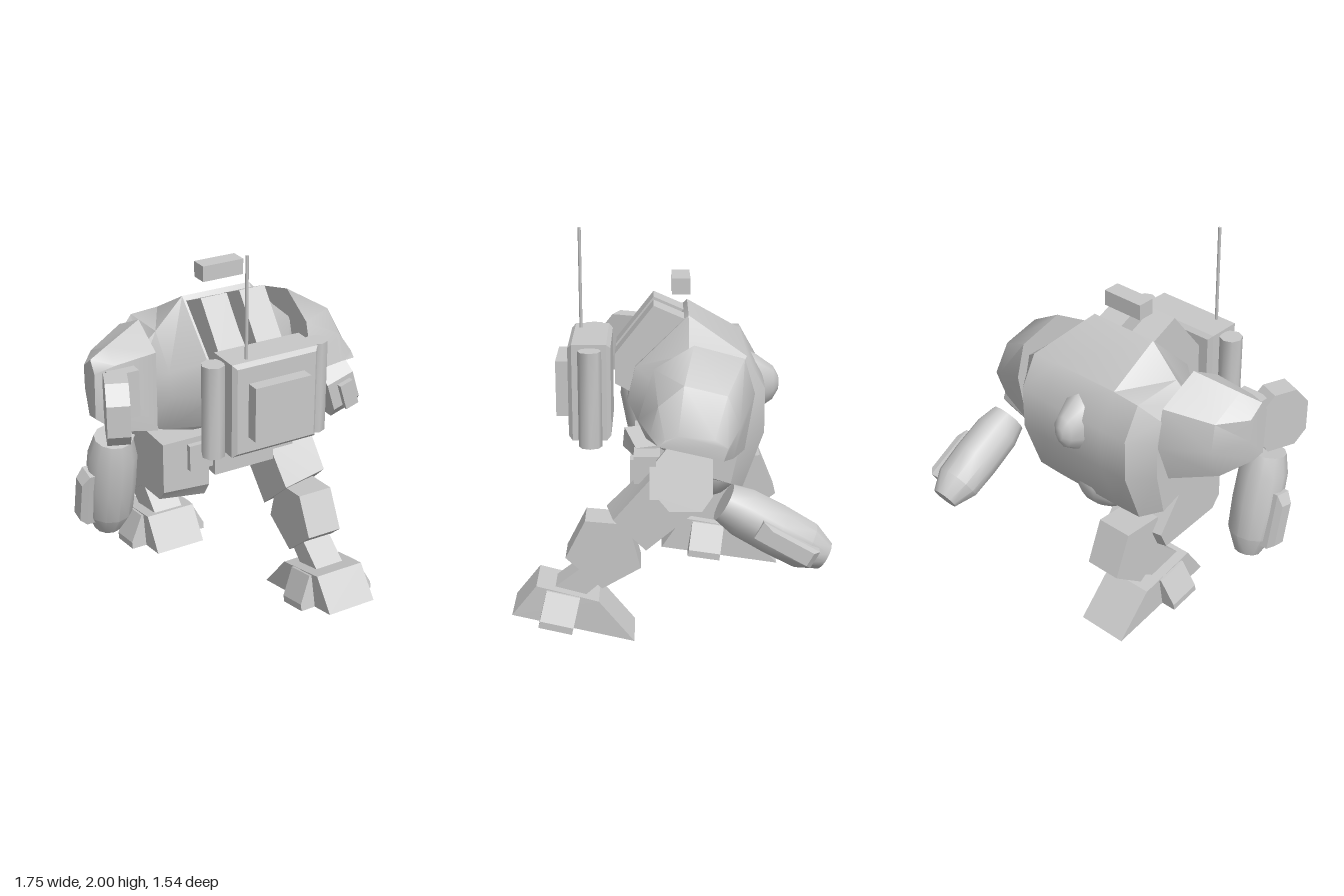
import * as THREE from 'three';
import { toCreasedNormals } from 'three/addons/utils/BufferGeometryUtils.js';

// Double sided because the feet are open underneath
const grey = new THREE.MeshStandardMaterial({ color: 0xc8c8c8, side: THREE.DoubleSide });
grey.name = 'light grey';

// Skin a hull through rings of [x, y, z] points, capping both ends;
// an open hull leaves out the strip between the last and first points
function loft(rings, crease = 0.6, open = false) {
  const n = rings[0].length, tris = [];
  for (let r = 0; r + 1 < rings.length; r++) {
    for (let i = 0; i < (open ? n - 1 : n); i++) {
      const j = (i + 1) % n;
      const a = rings[r][i], b = rings[r][j], c = rings[r + 1][j], d = rings[r + 1][i];
      tris.push([a, b, c], [a, c, d]);
    }
  }
  // caps follow the turn of their ring
  const flat = ring => ring.map(p => new THREE.Vector2(p[2], p[1]));
  const cap = (ring, reversed) => {
    const turn = THREE.ShapeUtils.isClockWise(flat(ring));
    THREE.ShapeUtils.triangulateShape(flat(ring), []).forEach(f => {
      const t = f.map(i => ring[i]);
      const same = THREE.ShapeUtils.isClockWise(flat(t)) === turn;
      tris.push(same === reversed ? t.reverse() : t);
    });
  };
  cap(rings[0], true);
  cap(rings[rings.length - 1], false);
  // turn everything outward if the enclosed volume is negative
  const all = rings.flat().map(p => new THREE.Vector3(...p));
  const centre = all.reduce((s, p) => s.add(p), new THREE.Vector3()).divideScalar(all.length);
  const v = p => new THREE.Vector3(...p).sub(centre);
  const volume = tris.reduce((s, [a, b, c]) => s + v(a).dot(v(b).cross(v(c))), 0);
  if (volume < 0) tris.forEach(t => t.reverse());
  const g = new THREE.BufferGeometry();
  g.setAttribute('position', new THREE.Float32BufferAttribute(tris.flat(2), 3));
  return toCreasedNormals(g, crease);
}

// A ring at one x from a [z, y] outline
const ring = (x, outline) => outline.map(([z, y]) => [x, y, z]);
const prism = (x0, x1, outline, open) => loft([ring(x0, outline), ring(x1, outline)], 0.3, open);

function add(parent, name, geometry, position = [0, 0, 0], rotation = [0, 0, 0]) {
  const m = new THREE.Mesh(geometry, grey);
  m.name = name;
  m.position.set(...position);
  m.rotation.set(...rotation);
  parent.add(m);
  return m;
}

// Box from its low and high corners
function box(parent, name, lo, hi) {
  const s = lo.map((v, i) => hi[i] - v), c = lo.map((v, i) => (v + hi[i]) / 2);
  return add(parent, name, new THREE.BoxGeometry(...s), c);
}

// Foot: hollow wedge with flared side fins, placed by its heel and sole angle
function foot(parent, cx, heelZ, heelY, tilt) {
  const c = Math.cos(tilt), s = Math.sin(tilt);
  const at = (u, n) => [heelZ - u * c - n * s, heelY - u * s + n * c];
  const wedge = [[0, 0], [0.085, 0.18], [0.405, 0.17], [0.627, 0]].map(p => at(...p));
  add(parent, 'foot', prism(cx - 0.133, cx + 0.133, wedge, true));
  for (const side of [-1, 1]) {
    const fin = u => [[0.13, 0], [0.13, 0.172], [0.145, 0.172], [0.213, 0.035], [0.213, 0]]
      .map(([dx, n]) => {
        const [z, y] = at(u, n);
        return [z, y, -(cx + side * dx)];
      });
    // built in a turned frame so the end caps face along the foot
    add(parent, 'footFin', loft([fin(0.14), fin(0.31)], 0.3, true), [0, 0, 0], [0, -Math.PI / 2, 0]);
  }
}

// Forearm: faceted tapered barrel from a to b with a pod on the outer side
function forearm(parent, side, a, b) {
  const from = new THREE.Vector3(...a), dir = new THREE.Vector3(...b).sub(from);
  const len = dir.length();
  const g = new THREE.Group();
  g.name = side > 0 ? 'leftForearm' : 'rightForearm';
  g.position.copy(from);
  g.quaternion.setFromUnitVectors(new THREE.Vector3(0, 1, 0), dir.normalize());
  const profile = [[0, 0], [0.095, 0], [0.12, 0.1], [0.124, 0.28], [0.118, len - 0.11], [0.07, len], [0, len]]
    .map(p => new THREE.Vector2(...p));
  add(g, 'barrel', toCreasedNormals(new THREE.LatheGeometry(profile, 12), 0.6));
  const outline = (w, lo, hi) => [[-w, lo], [-w, hi], [w, hi], [w, lo]];
  const root = outline(0.045, 0.18, 0.48);
  add(g, 'sidePod', loft([ring(side * 0.08, root), ring(side * 0.135, root),
    ring(side * 0.17, outline(0.035, 0.23, 0.45))], 0.2));
  parent.add(g);
}

export function createModel() {
  const model = new THREE.Group();
  model.name = 'walker';

  // Torso hull
  const mid = [[-0.11, 1.625], [-0.385, 1.47], [-0.48, 1.3], [-0.48, 1.08], [-0.38, 0.8],
    [-0.1, 0.86], [0.1, 1.0], [0.19, 1.2], [0.15, 1.37]];
  const edge = [[-0.11, 1.47], [-0.385, 1.46], [-0.475, 1.3], [-0.475, 1.08], [-0.375, 0.8],
    [-0.1, 0.87], [0.0, 0.98], [0.06, 1.18], [0.03, 1.3]];
  const flank = [[-0.11, 1.38], [-0.33, 1.385], [-0.36, 1.27], [-0.36, 1.08], [-0.31, 0.85],
    [-0.15, 0.9], [-0.1, 0.99], [-0.07, 1.14], [-0.08, 1.28]];
  add(model, 'torso', loft([ring(-0.44, flank), ring(-0.34, edge), ring(-0.19, mid),
    ring(0.19, mid), ring(0.34, edge), ring(0.44, flank)]));

  // Rear sensor dome and belly
  const domeProfile = [[1, 0], [0.84, 0.35], [0.48, 0.85], [0.2, 1], [0, 1]].map(p => new THREE.Vector2(...p));
  const dome = add(model, 'sensorDome', toCreasedNormals(new THREE.LatheGeometry(domeProfile, 10), 1),
    [0, 1.235, -0.385], [-Math.PI / 2, 0, 0]);
  dome.scale.set(0.12, 0.183, 0.18);
  const belly = add(model, 'belly', new THREE.SphereGeometry(1, 14, 10), [0, 0.83, -0.18]);
  belly.scale.set(0.19, 0.2, 0.22);

  // Top fairings and floating sight block
  const fairing = [[-0.1, 1.6], [0.06, 1.67], [0.25, 1.43], [0.25, 1.28], [0.1, 1.2], [-0.1, 1.4]];
  for (const s of [-1, 1]) add(model, 'topFairing', prism(s * 0.035, s * 0.178, fairing));
  box(model, 'sightBlock', [-0.115, 1.71, -0.12], [0.11, 1.79, -0.03]);

  // Backpack with canisters, panel and antenna
  const pack = new THREE.Shape();
  [[-0.215, -0.222], [0.215, -0.222], [0.215, 0.222], [-0.215, 0.222]]
    .forEach(([x, y], i) => (i ? pack.lineTo(x, y) : pack.moveTo(x, y)));
  add(model, 'backpack', new THREE.ExtrudeGeometry(pack, {
    depth: 0.17, bevelThickness: 0.02, bevelSize: 0.02, bevelSegments: 1,
  }), [0, 1.247, 0.29]);
  box(model, 'backpackPanel', [-0.155, 1.105, 0.47], [0.15, 1.385, 0.545]);
  for (const s of [-1, 1]) {
    add(model, 'canister', toCreasedNormals(new THREE.CylinderGeometry(0.058, 0.058, 0.48, 8), 0.9),
      [s * 0.285, 1.232, 0.37]);
  }
  add(model, 'antenna', new THREE.CylinderGeometry(0.008, 0.008, 0.56, 6), [-0.14, 1.72, 0.43]);

  // Hips
  box(model, 'hipBar', [-0.3, 0.8, 0.03], [0.3, 0.94, 0.16]);
  box(model, 'hipPlate', [-0.17, 0.755, -0.02], [0.17, 0.88, 0.18]);
  const cowlSide = [[0.0, 0.9], [0.0, 0.96], [0.15, 0.94], [0.15, 0.89]];
  add(model, 'waistCowl', loft([ring(-0.165, cowlSide),
    ring(0, [[0.0, 0.9], [0.0, 1.02], [0.21, 1.0], [0.22, 0.9]]), ring(0.165, cowlSide)], 0.2));

  // Legs: left one swung toward the backpack, right one away from it
  const legs = [
    { s: 1, thigh: [[0.06, 0.88], [0.3, 0.64], [0.09, 0.445], [-0.15, 0.69], [-0.16, 0.82], [-0.1, 0.89]],
      outer: [[0.06, 0.89], [0.26, 0.66], [0.1, 0.5], [-0.14, 0.7], [-0.15, 0.82], [-0.1, 0.89]],
      shank: [[0.4, 0.635], [0.185, 0.615], [0.127, 0.385], [0.32, 0.275], [0.5, 0.44]],
      shin: [[0.32, 0.46], [0.58, 0.26], [0.42, 0.22], [0.24, 0.38]], heel: [0.77, 0.15, 0.236] },
    { s: -1, thigh: [[0.13, 0.97], [0.13, 0.68], [0.08, 0.6], [-0.31, 0.57], [-0.35, 0.69], [-0.12, 0.97]],
      outer: [[0.13, 0.97], [0.13, 0.7], [0.08, 0.64], [-0.28, 0.61], [-0.32, 0.7], [-0.12, 0.97]],
      shank: [[-0.286, 0.77], [-0.5, 0.78], [-0.587, 0.566], [-0.41, 0.43], [-0.21, 0.566]],
      shin: [[-0.36, 0.66], [-0.1, 0.42], [-0.28, 0.38], [-0.45, 0.5]], heel: [0.02, 0.275, 0.152] },
  ];
  for (const { s, thigh, outer, shank, shin, heel } of legs) {
    const leg = new THREE.Group();
    leg.name = s > 0 ? 'leftLeg' : 'rightLeg';
    add(leg, 'thigh', loft([ring(s * 0.178, thigh), ring(s * 0.435, outer)], 0.3));
    add(leg, 'shank', prism(s * 0.195, s * 0.383, shank));
    add(leg, 'shin', prism(s * 0.21, s * 0.368, shin));
    foot(leg, s * 0.288, ...heel);
    model.add(leg);
  }

  // Shoulder pads
  add(model, 'leftShoulder', loft([
    ring(0.43, [[0.135, 1.17], [0.06, 1.42], [-0.13, 1.535], [-0.37, 1.47], [-0.42, 1.3], [-0.375, 1.02]]),
    ring(0.65, [[0.08, 1.16], [0.04, 1.3], [-0.08, 1.4], [-0.28, 1.35], [-0.34, 1.2], [-0.31, 1.05]]),
    ring(0.75, [[0.04, 1.14], [0.01, 1.17], [-0.05, 1.19], [-0.22, 1.17], [-0.28, 1.13], [-0.26, 1.07]])], 0.8));
  add(model, 'rightShoulder', loft([
    ring(-0.435, [[0.08, 1.03], [0.08, 1.45], [-0.1, 1.555], [-0.32, 1.45], [-0.36, 1.25], [-0.28, 1.03]]),
    ring(-0.65, [[0.08, 1.08], [0.08, 1.43], [-0.02, 1.49], [-0.2, 1.4], [-0.22, 1.25], [-0.15, 1.08]]),
    ring(-0.75, [[0.05, 1.16], [0.06, 1.4], [0.02, 1.46], [-0.06, 1.4], [-0.06, 1.28], [-0.02, 1.15]])], 0.8));

  // Elbows
  const elbow = [[-0.13, -0.08], [-0.13, 0.09], [-0.06, 0.165], [0.06, 0.165],
    [0.13, 0.08], [0.13, -0.08], [0.07, -0.15], [-0.08, -0.15]];
  add(model, 'leftElbow', prism(-0.082, 0.082, elbow), [0.685, 0.965, -0.08], [0, 0, 0.3]);
  add(model, 'leftElbowLug', new THREE.BoxGeometry(0.08, 0.15, 0.06), [0.705, 0.95, 0.05], [0, 0, 0.3]);
  add(model, 'rightElbow', prism(-0.055, 0.055, elbow), [-0.71, 1.27, 0.21], [0, -0.37, 0]);
  box(model, 'rightUpperArm', [-0.7, 1.17, -0.02], [-0.555, 1.41, 0.14]);

  // Forearms: the left one points ahead, the right one hangs
  forearm(model, 1, [0.7, 0.855, -0.265], [0.7, 0.585, -0.74]);
  const hanging = new THREE.Group();
  hanging.name = 'rightForearmMount';
  hanging.position.set(-0.705, 1.1, 0.15);
  hanging.rotation.x = Math.PI + 0.21;
  forearm(hanging, -1, [0, 0, 0], [0, 0.56, 0]);
  model.add(hanging);

  return model;
}
